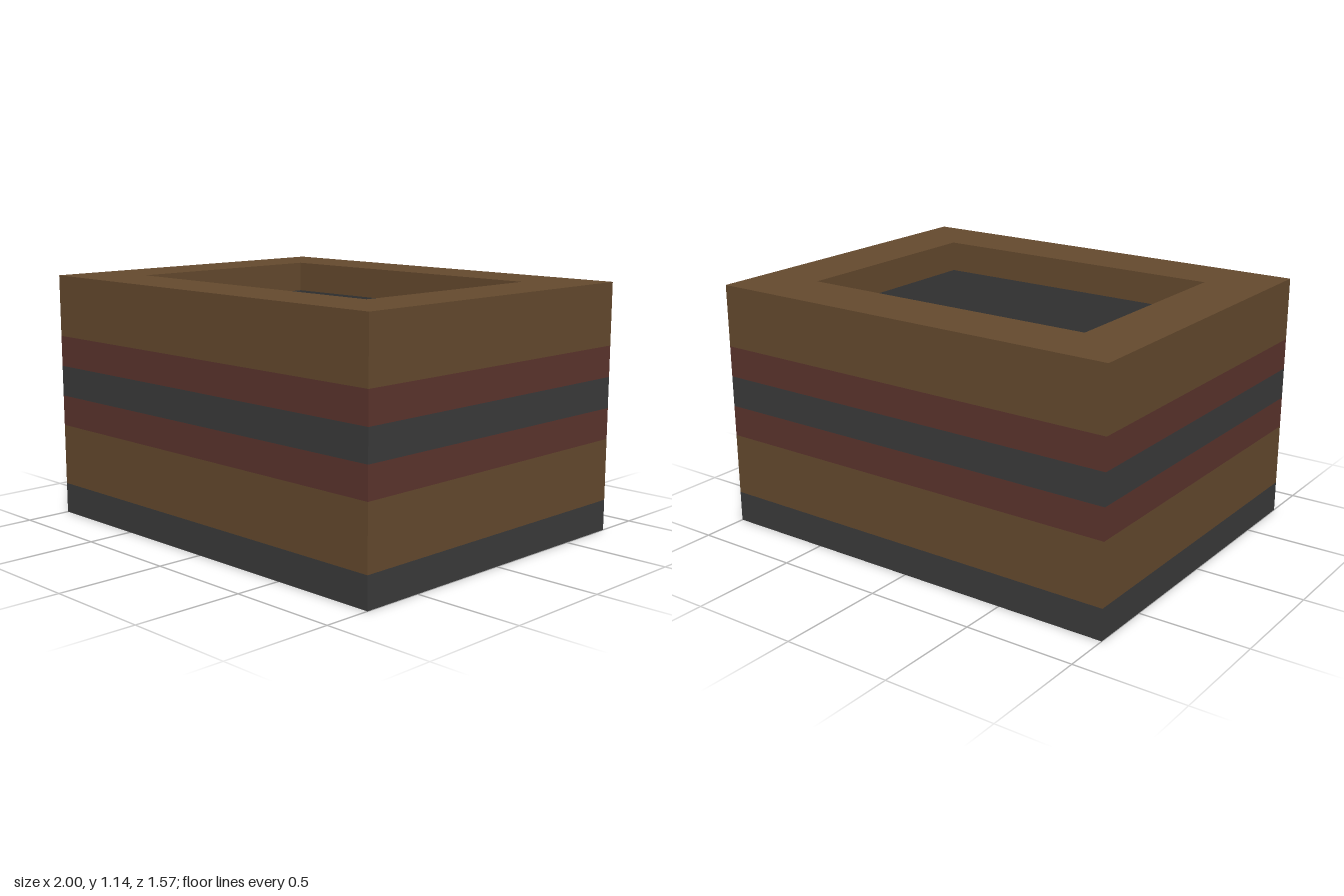
import * as THREE from 'three';

const U = 1 / 7; // one block
const W = 14, D = 11;

const mat = (name, color) => {
  const m = new THREE.MeshStandardMaterial({ color });
  m.name = name;
  return m;
};

const rectPath = (path, w, d) => {
  const x = w / 2 * U, y = d / 2 * U;
  path.moveTo(-x, -y).lineTo(x, -y).lineTo(x, y).lineTo(-x, y).closePath();
  return path;
};

// Rectangular ring between two heights, all sizes in blocks
function ring(name, material, w, d, wall, y0, y1) {
  const shape = rectPath(new THREE.Shape(), w, d);
  shape.holes.push(rectPath(new THREE.Path(), w - 2 * wall, d - 2 * wall));
  const geo = new THREE.ExtrudeGeometry(shape, { depth: (y1 - y0) * U, bevelEnabled: false });
  geo.rotateX(-Math.PI / 2).translate(0, y0 * U, 0);
  const mesh = new THREE.Mesh(geo, material);
  mesh.name = name;
  return mesh;
}

export function createModel() {
  const wood = mat('brown wood', 0x654a2e);
  const grey = mat('dark grey', 0x3b3b3b);
  const red = mat('dark red', 0x5c342d);
  const group = new THREE.Group();
  group.name = 'planterBox';

  // Base slab, also the floor of the cavity
  const base = new THREE.Mesh(new THREE.BoxGeometry(W * U, U, D * U), grey);
  base.name = 'base';
  base.position.y = U / 2;
  group.add(base);

  // Striped outer walls, bottom to top
  const bands = [
    ['lowerWoodBand', wood, 1, 3],
    ['lowerRedStripe', red, 3, 4],
    ['greyStripe', grey, 4, 5],
    ['upperRedStripe', red, 5, 6],
    ['upperWoodBand', wood, 6, 7],
  ];
  for (const [name, m, y0, y1] of bands) group.add(ring(name, m, W, D, 1, y0, y1));

  // Inner lining and the thick rim that caps it
  group.add(ring('lining', grey, W - 2, D - 2, 1, 1, 7));
  group.add(ring('rim', wood, W, D, 2, 7, 8));

  return group;
}
